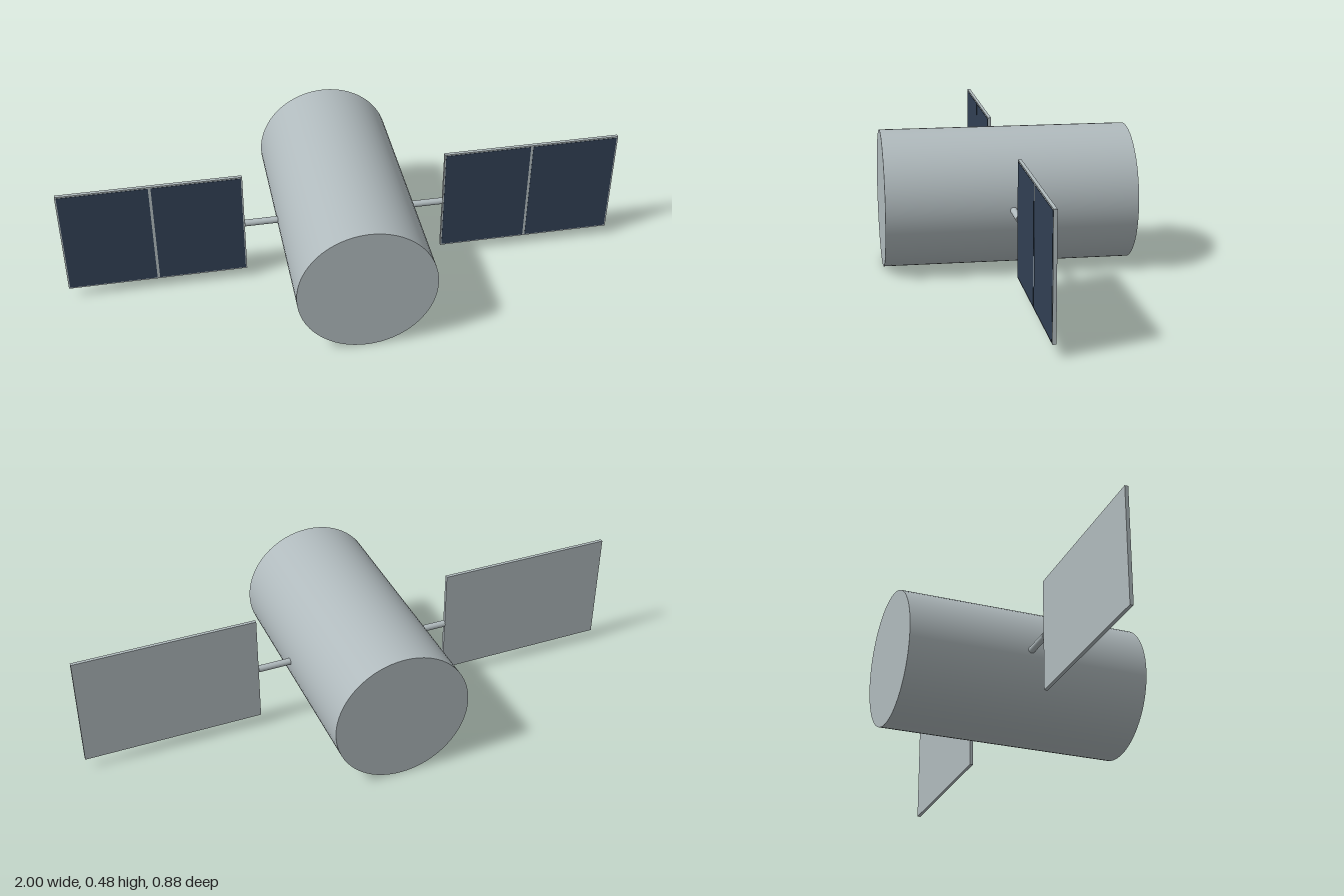
import * as THREE from 'three';

export function createModel() {
  const metal = new THREE.MeshStandardMaterial({ color: 0xb0babd });
  metal.name = 'silver metal';
  const cellBlue = new THREE.MeshStandardMaterial({ color: 0x314054 });
  cellBlue.name = 'dark blue solar cell';

  const model = new THREE.Group();
  model.name = 'satellite';
  const R = 0.242; // body radius, also the height of the central axis

  const add = (parent, name, geometry, material, x, y, z) => {
    const mesh = new THREE.Mesh(geometry, material);
    mesh.name = name;
    mesh.position.set(x, y, z);
    parent.add(mesh);
    return mesh;
  };

  // Cylindrical body lying along z
  add(model, 'body', new THREE.CylinderGeometry(R, R, 0.876, 64).rotateX(Math.PI / 2), metal, 0, R, 0);

  // A strut and a two-cell solar panel on each side
  const inner = 0.36, outer = 1, height = 0.408, depth = 0.012;
  const width = outer - inner, rim = 0.005, gap = 0.009;
  const cellWidth = (width - 2 * rim - gap) / 2;
  for (const [side, s] of [['left', 1], ['right', -1]]) {
    const wing = new THREE.Group();
    wing.name = side + 'Wing';
    model.add(wing);

    const start = R - 0.04;
    add(wing, 'strut', new THREE.CylinderGeometry(0.012, 0.012, inner - start, 24).rotateZ(Math.PI / 2),
      metal, s * (start + inner) / 2, R, 0);

    const mid = s * (inner + outer) / 2;
    add(wing, 'panelFrame', new THREE.BoxGeometry(width, height, depth), metal, mid, R + 0.002, 0);

    // Cells only on the front face
    for (const c of [-1, 1]) {
      add(wing, 'solarCell', new THREE.BoxGeometry(cellWidth, height - 2 * rim, 0.002), cellBlue,
        mid + c * (cellWidth + gap) / 2, R + 0.002, depth / 2);
    }
  }
  return model;
}
